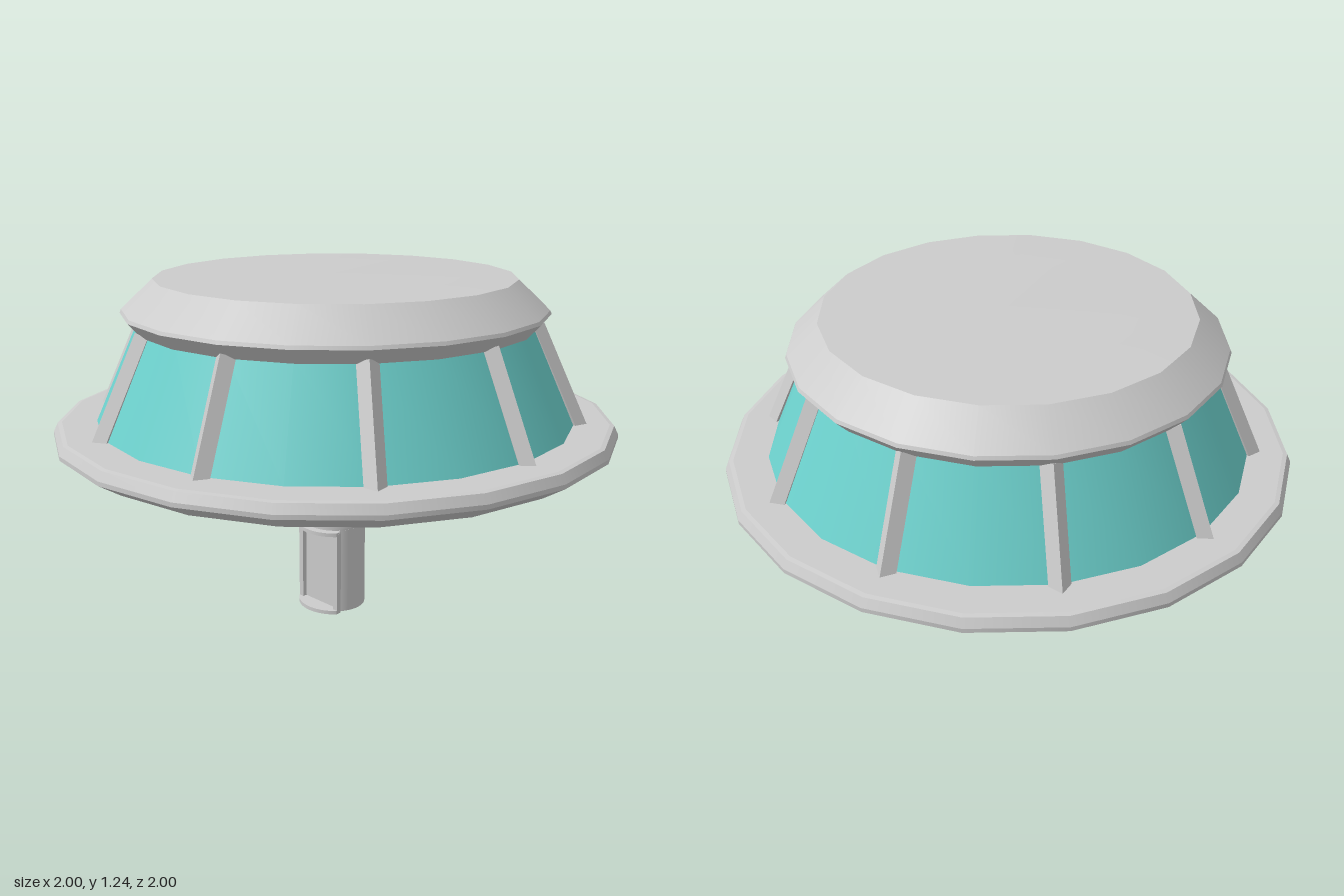
import * as THREE from 'three';
import { mergeGeometries } from 'three/addons/utils/BufferGeometryUtils.js';

const grey = new THREE.MeshStandardMaterial({ color: 0xcccccc });
const glass = new THREE.MeshStandardMaterial({ color: 0x6cd0cc, side: THREE.DoubleSide });

// Turned part: smooth around the axis, hard edge at every profile point (listed bottom to top).
function turned(profile, sides) {
  const bands = [];
  for (let i = 0; i < profile.length - 1; i++) {
    const pair = [profile[i], profile[i + 1]].map(([r, y]) => new THREE.Vector2(r, y));
    bands.push(new THREE.LatheGeometry(pair, sides));
  }
  return mergeGeometries(bands);
}

// Upright extrusion of an outline drawn in x and -z.
function slab(shape, y, height) {
  const g = new THREE.ExtrudeGeometry(shape, { depth: height, bevelEnabled: false, curveSegments: 32 });
  return g.rotateX(-Math.PI / 2).translate(0, y, 0);
}

// Square bar between two (radius, height) points, pointing out along +z.
function bar(w, h, [r0, y0], [r1, y1], roll = 0) {
  const a = new THREE.Vector3(0, y0, r0), b = new THREE.Vector3(0, y1, r1);
  const g = new THREE.BoxGeometry(w, a.distanceTo(b), h).rotateY(roll);
  g.rotateX(Math.atan2(r1 - r0, y1 - y0));
  return g.translate(0, (y0 + y1) / 2, (r0 + r1) / 2);
}

export function createModel() {
  const model = new THREE.Group();
  const add = (name, geometry, material = grey, turn = 0) => {
    const mesh = new THREE.Mesh(geometry, material);
    mesh.name = name;
    mesh.rotation.y = turn;
    model.add(mesh);
  };

  // Cabin: deck, sloping windows and roof
  add('deck', turned([[0, 0.64], [0.92, 0.64], [1, 0.69], [1, 0.705], [0.985, 0.735], [0.97, 0.738], [0, 0.738]], 20));
  add('windows', turned([[0.85, 0.735], [0.695, 1.08]], 20), glass);
  add('roof', turned([[0, 1.07], [0.705, 1.07], [0.75, 1.12], [0.745, 1.132], [0.635, 1.235], [0.44, 1.238], [0, 1.242]], 20));

  // Window posts, set edge outwards
  const post = bar(0.05, 0.05, [0.862, 0.715], [0.695, 1.075], Math.PI / 4);
  for (let i = 0; i < 10; i++) add('windowPost', post, grey, (i * Math.PI) / 5);

  // Column with its flared head and collar
  add('upperColumn', turned([[0, 0.32], [0.11, 0.32], [0.11, 0.555], [0.2, 0.642]], 32));
  add('collar', turned([[0.1, 0.333], [0.13, 0.333], [0.13, 0.351], [0.1, 0.351]], 32));

  // Lower column, cut flat on one side for the doorway
  const cut = Math.acos(0.075 / 0.11);
  const section = new THREE.Shape();
  section.absarc(0, 0, 0.11, -Math.PI + cut, Math.PI - cut, false);
  section.closePath();
  const foot = slab(section, 0, 0.32);
  // Smooth the curved wall, keep the flat faces
  const p = foot.attributes.position, n = foot.attributes.normal;
  for (let i = 0; i < p.count; i++) {
    const x = p.getX(i), z = p.getZ(i);
    if (Math.abs(n.getY(i)) < 0.5 && n.getX(i) > -0.99) n.setXYZ(i, x / 0.11, 0, z / 0.11);
  }
  add('lowerColumn', foot);

  // Door frame: curved sill and lintel joined by two jambs
  const spread = Math.acos(0.07 / 0.138);
  const ledge = new THREE.Shape();
  ledge.absarc(0, 0, 0.138, Math.PI - spread * 0.8, Math.PI + spread * 0.8, false);
  ledge.lineTo(-0.07, -0.1);
  ledge.lineTo(-0.07, 0.1);
  ledge.closePath();
  add('doorSill', slab(ledge, 0, 0.014));
  add('doorLintel', slab(ledge, 0.306, 0.014));
  for (const s of [-1, 1]) {
    add('doorJamb', new THREE.BoxGeometry(0.02, 0.31, 0.02).translate(-0.081, 0.16, s * 0.092));
  }

  // Four diagonal braces under the deck
  const brace = bar(0.04, 0.036, [0.07, 0.365], [0.86, 0.66]);
  for (let i = 0; i < 4; i++) add('brace', brace, grey, (i * Math.PI) / 2);

  return model;
}
